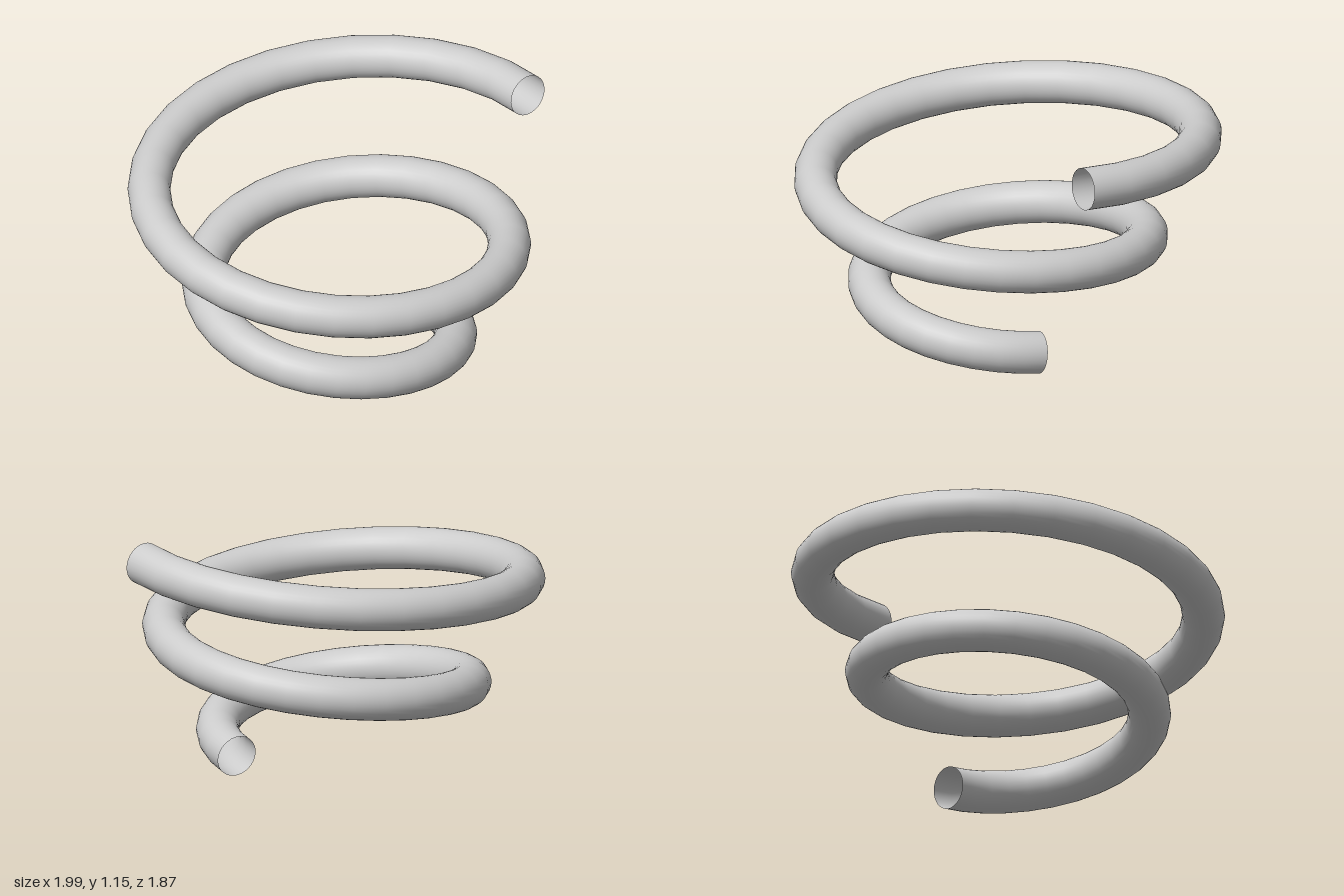
import * as THREE from 'three';

const STEPS = 64, TURNS = 2;

// Rising spiral whose radius grows steadily, sampled at equal angles
class Spiral extends THREE.Curve {
  getPoint(t, target = new THREE.Vector3()) {
    const a = t * TURNS * Math.PI * 2;
    const r = 0.48 + 0.48 * t;
    return target.set(-0.06 + r * Math.cos(a), 0.096 + 0.965 * t, 0.057 + r * Math.sin(a));
  }
  getPointAt(u, target) {
    return this.getPoint(u, target);
  }
  // Direction from the neighbouring samples, so the end rings follow the last chord
  getTangentAt(u, target = new THREE.Vector3()) {
    const a = this.getPoint(Math.max(0, u - 1 / STEPS));
    const b = this.getPoint(Math.min(1, u + 1 / STEPS));
    return target.copy(b).sub(a).normalize();
  }
}

export function createModel() {
  const group = new THREE.Group();
  group.name = 'spiralSpring';

  // Hollow tube, open at both ends
  const coil = new THREE.Mesh(
    new THREE.TubeGeometry(new Spiral(), STEPS, 0.095, 32, false),
    new THREE.MeshStandardMaterial({ color: 0xcccccc, side: THREE.DoubleSide })
  );
  coil.name = 'coil';
  group.add(coil);
  return group;
}
